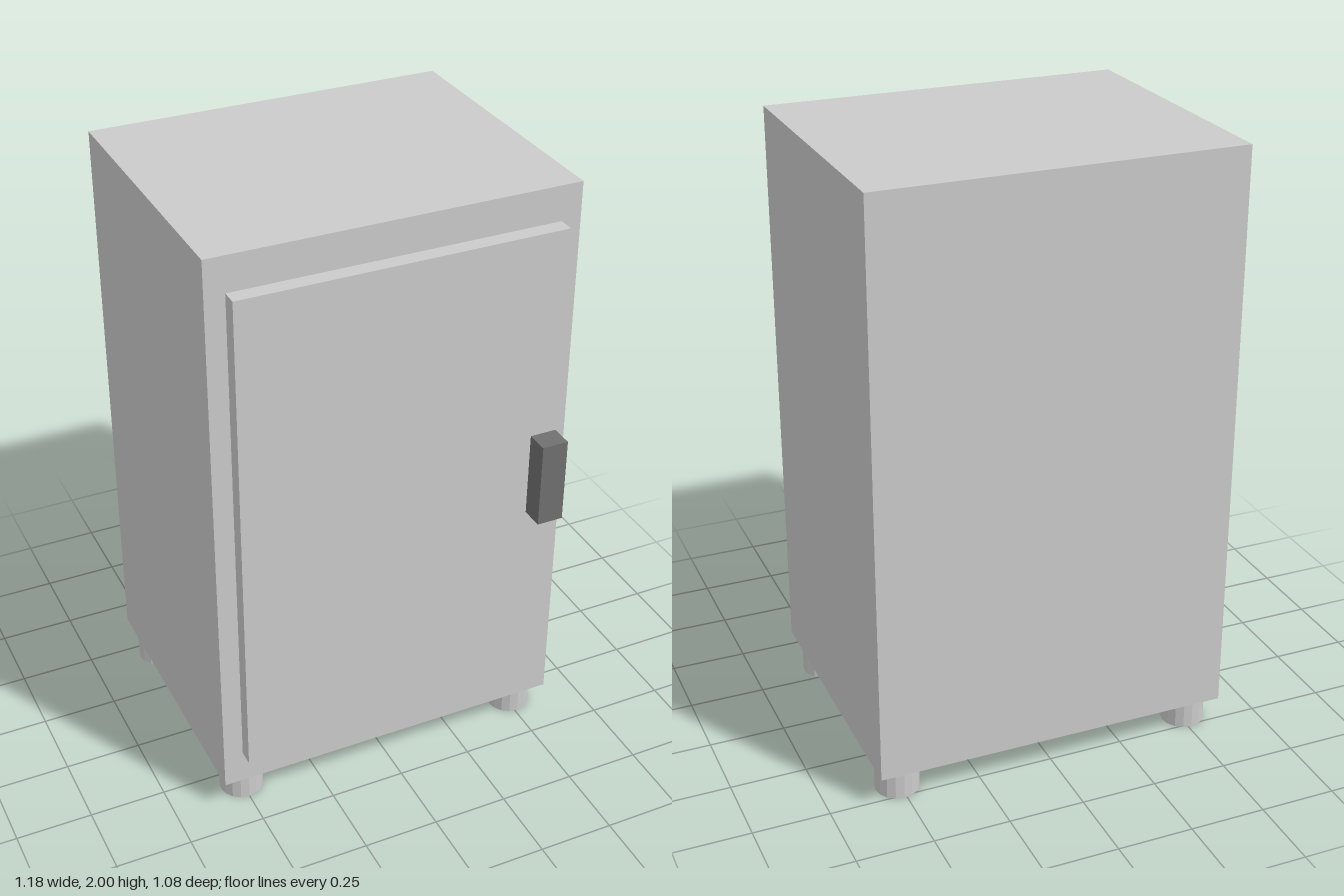
import * as THREE from 'three';

export function createModel() {
  const group = new THREE.Group();
  const grey = new THREE.MeshStandardMaterial({ color: 0xcccccc, flatShading: true });
  const dark = new THREE.MeshStandardMaterial({ color: 0x707070, flatShading: true });

  const add = (name, geometry, material, x, y, z) => {
    const mesh = new THREE.Mesh(geometry, material);
    mesh.name = name;
    mesh.position.set(x, y, z);
    group.add(mesh);
  };

  // Box given by its minimum and maximum corners
  const addBox = (name, material, [x0, y0, z0], [x1, y1, z1]) =>
    add(name, new THREE.BoxGeometry(x1 - x0, y1 - y0, z1 - z0), material,
      (x0 + x1) / 2, (y0 + y1) / 2, (z0 + z1) / 2);

  // Cabinet, door and handle
  addBox('cabinetBody', grey, [-0.592, 0.105, -0.538], [0.592, 2, 0.41]);
  addBox('door', grey, [-0.528, 0.22, 0.41], [0.528, 1.885, 0.462]);
  addBox('doorHandle', dark, [0.44, 0.91, 0.462], [0.527, 1.195, 0.538]);

  // Four short round feet
  const footHeight = 0.105;
  const foot = new THREE.CylinderGeometry(0.072, 0.072, footHeight, 16);
  const feet = {
    frontRightFoot: [-0.5, 0.313],
    frontLeftFoot: [0.508, 0.313],
    backRightFoot: [-0.511, -0.44],
    backLeftFoot: [0.508, -0.44],
  };
  for (const [name, [x, z]] of Object.entries(feet)) add(name, foot, grey, x, footHeight / 2, z);

  return group;
}
